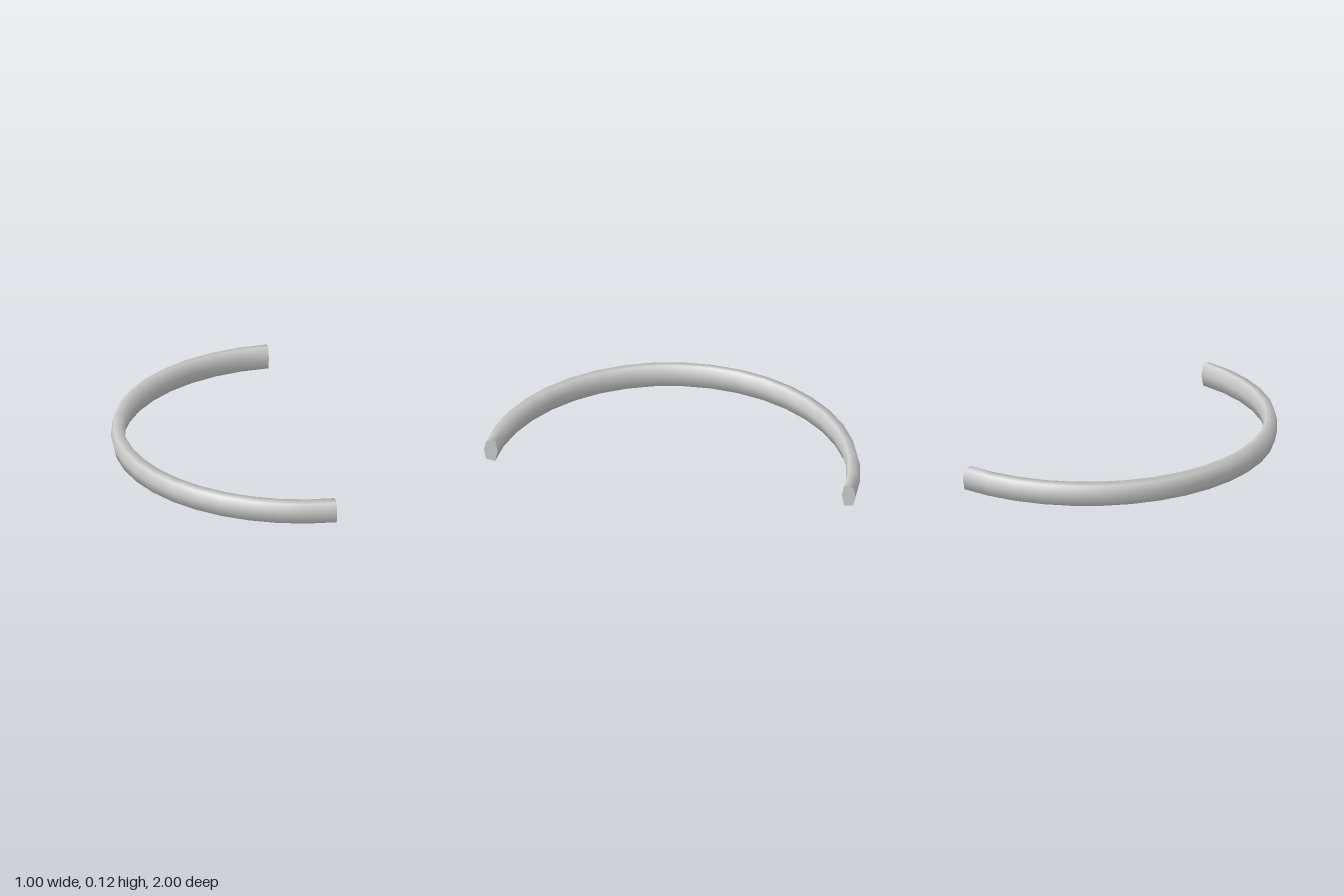
import * as THREE from 'three';
import { mergeVertices } from 'three/addons/utils/BufferGeometryUtils.js';

// Six-sided tube section as [radius, height], running up the outer side
const SECTION = [[0.94, 0], [0.987, 0.007], [1, 0.063], [0.987, 0.117], [0.94, 0.125], [0.925, 0.063]];

export function createModel() {
  const group = new THREE.Group();
  group.name = 'halfRing';
  const material = new THREE.MeshStandardMaterial({ color: 0xcccccc });

  // Half-circle tube, smooth shaded, opening towards +x
  const profile = [...SECTION, SECTION[0]].map(([r, y]) => new THREE.Vector2(r, y));
  let tube = new THREE.LatheGeometry(profile, 20, Math.PI, Math.PI);
  tube.deleteAttribute('uv');
  tube.deleteAttribute('normal');
  tube = mergeVertices(tube);
  tube.computeVertexNormals();
  const arc = new THREE.Mesh(tube, material);
  arc.name = 'curvedTube';
  arc.position.x = 0.5;
  group.add(arc);

  // Flat end caps facing +x
  for (const side of [1, -1]) {
    const shape = new THREE.Shape(SECTION.map(([r, y]) => new THREE.Vector2(-side * r, y)));
    const cap = new THREE.Mesh(new THREE.ShapeGeometry(shape), material);
    cap.name = side > 0 ? 'frontEndCap' : 'backEndCap';
    cap.rotation.y = Math.PI / 2;
    cap.position.x = 0.5;
    group.add(cap);
  }
  return group;
}
